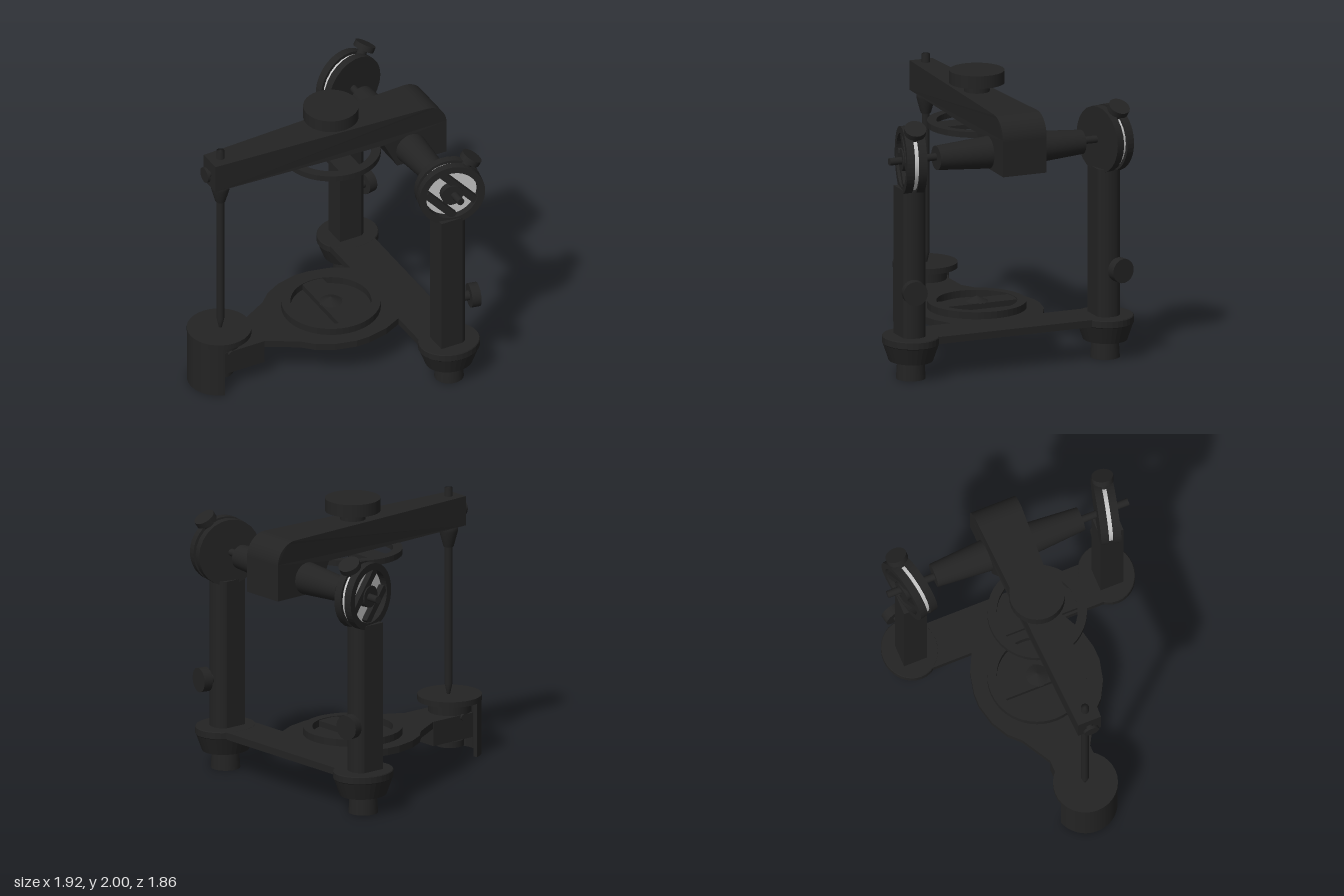
import * as THREE from 'three';

const black = new THREE.MeshStandardMaterial({ color: 0x232323 });
black.name = 'matte black';
const silver = new THREE.MeshStandardMaterial({ color: 0xc4c4c4 });
silver.name = 'silver';

function add(parent, name, geo, x = 0, y = 0, z = 0, mat = black) {
  const m = new THREE.Mesh(geo, mat);
  m.name = name;
  m.position.set(x, y, z);
  parent.add(m);
  return m;
}

// Upright round part between two heights
function round(parent, name, x, z, y0, y1, r0, r1 = r0) {
  return add(parent, name, new THREE.CylinderGeometry(r1, r0, y1 - y0, 32), x, (y0 + y1) / 2, z);
}

// Plan outline raised into a slab starting at y0
function slab(parent, name, shape, y0, h, x = 0) {
  const g = new THREE.ExtrudeGeometry(shape, { depth: h, bevelEnabled: false, curveSegments: 24 });
  g.rotateX(-Math.PI / 2);
  return add(parent, name, g, x, y0, 0);
}

function ringShape(outer, inner) {
  const s = new THREE.Shape().absarc(0, 0, outer, 0, Math.PI * 2);
  s.holes.push(new THREE.Path().absarc(0, 0, inner, 0, Math.PI * 2, true));
  return s;
}

// Round part whose axis points along a given direction
function screw(parent, name, pos, dir, r, h) {
  const m = add(parent, name, new THREE.CylinderGeometry(r, r, h, 24), ...pos);
  m.quaternion.setFromUnitVectors(new THREE.Vector3(0, 1, 0), new THREE.Vector3(...dir).normalize());
  return m;
}

function buildBase(g) {
  // Plate with a round middle, narrow front neck and wide rear bar
  const half = [[-0.62, 0.14], [-0.47, 0.145], [-0.25, 0.27], [-0.17, 0.35], [-0.05, 0.415],
    [0.1, 0.45], [0.2, 0.448], [0.35, 0.415], [0.48, 0.35], [0.48, 0.73], [0.8, 0.73]];
  const outline = [...half, ...half.map(([x, z]) => [x, -z]).reverse()];
  slab(g, 'basePlate', new THREE.Shape(outline.map((p) => new THREE.Vector2(...p))), 0.255, 0.05);
  round(g, 'lowerKnobShaft', 0.14, 0, 0.21, 0.26, 0.09);
  round(g, 'lowerKnob', 0.14, 0, 0.13, 0.215, 0.19);

  // Front table with its curved shield and clamp
  round(g, 'tableTop', -0.74, 0, 0.385, 0.425, 0.225);
  const a = 1.89, b = Math.PI * 2 - a;
  const shield = new THREE.Shape().absarc(0, 0, 0.222, a, b).absarc(0, 0, 0.195, b, a, true);
  slab(g, 'tableShield', shield, 0, 0.39, -0.74);
  round(g, 'tableStem', -0.74, 0, 0.14, 0.39, 0.15);
  add(g, 'tableBlock', new THREE.BoxGeometry(0.36, 0.175, 0.3), -0.645, 0.2175, 0);
  round(g, 'tableScrewShaft', -0.735, 0, 0.09, 0.14, 0.045);
  round(g, 'tableScrew', -0.74, 0, 0.06, 0.105, 0.1);
  for (const s of [1, -1]) screw(g, 'tablePeg', [-0.73, 0.29, 0.15 * s], [0, 0, 1], 0.022, 0.03);
}

// Slotted ring with crossbar and central cone; dir is the way the cone points
function mountingRing(g, name, y, h, dir) {
  const ring = new THREE.Group();
  ring.name = name;
  ring.position.set(0.14, y, 0);
  g.add(ring);
  slab(ring, 'ring', ringShape(0.345, 0.28), 0, h);
  add(ring, 'crossbar', new THREE.BoxGeometry(0.16, h * 0.8, 0.6), 0, h / 2, 0);
  const cone = add(ring, 'cone', new THREE.ConeGeometry(0.085, 0.04, 24), 0, dir > 0 ? h + 0.012 : -0.015, 0);
  if (dir < 0) cone.rotation.x = Math.PI;
}

function buildPost(g, s) {
  const z = 0.735 * s;
  // Foot and stub, slightly narrower from front to back
  const foot = add(g, 'foot', new THREE.LatheGeometry([[0, 0.13], [0.17, 0.13], [0.215, 0.25], [0.22, 0.255],
    [0.22, 0.3], [0.215, 0.306], [0, 0.306]].map((p) => new THREE.Vector2(...p)), 32), 0.67, 0, z);
  foot.geometry = foot.geometry.toNonIndexed();
  foot.geometry.computeVertexNormals();
  foot.scale.z = 0.89;
  round(g, 'footStub', 0.67, z, 0, 0.14, 0.103, 0.094);

  // Upright with a rounded rear side
  const p = new THREE.Shape();
  p.moveTo(0.565, -0.085).lineTo(0.73, -0.085);
  p.bezierCurveTo(0.797, -0.06, 0.797, 0.06, 0.73, 0.085);
  p.lineTo(0.565, 0.085);
  slab(g, 'post', p, 0.3, 1.06).position.z = z;
  screw(g, 'postKnobShaft', [0.79, 0.65, 0.765 * s], [1, 0, 0.2 * s], 0.035, 0.08);
  screw(g, 'postKnob', [0.838, 0.65, 0.78 * s], [1, 0, 0.2 * s], 0.086, 0.065);

  // Angled hinge housing: solid inner cheek, bright dial, open outer ring
  const h = new THREE.Group();
  h.name = 'hingeHousing';
  h.position.set(0.675, 1.56, z);
  h.rotation.y = -0.23 * s;
  g.add(h);
  const Z = [0, 0, 1];
  screw(h, 'innerCheek', [0, 0, -0.043 * s], Z, 0.236, 0.055);
  screw(h, 'dial', [0, 0, 0], Z, 0.215, 0.036).material = silver;
  const ring = new THREE.ExtrudeGeometry(ringShape(0.236, 0.187), { depth: 0.055, bevelEnabled: false, curveSegments: 24 });
  ring.translate(0, 0, -0.0275);
  add(h, 'outerRing', ring, 0, 0, 0.043 * s);
  for (const [off, len] of [[0.07, 0.35], [-0.115, 0.29]]) {
    const bar = add(h, 'guideBar', new THREE.BoxGeometry(len, 0.05, 0.045), off * 0.72, off * 0.69, 0.038 * s);
    bar.rotation.z = -0.81;
  }
  screw(h, 'hub', [0, 0, 0.04 * s], Z, 0.077, 0.06);
  const d = [0.53, 0.85, 0];
  screw(h, 'lockScrewShaft', d.map((v) => v * 0.25), d, 0.035, 0.08);
  screw(h, 'lockScrew', d.map((v) => v * 0.285), d, 0.076, 0.042);
}

function buildUpper(g) {
  // Arm with a dropped, rounded rear end that widens toward the back
  const p = new THREE.Shape();
  p.moveTo(-0.815, 1.64).lineTo(-0.2, 1.64).lineTo(0.48, 1.64).lineTo(0.58, 1.44).lineTo(0.96, 1.44).lineTo(0.96, 1.69);
  p.absarc(0.8, 1.69, 0.16, 0, Math.PI / 2);
  p.lineTo(-0.815, 1.85);
  const geo = new THREE.ExtrudeGeometry(p, { depth: 2, bevelEnabled: false, curveSegments: 12 });
  geo.translate(0, 0, -1);
  const pos = geo.attributes.position;
  for (let i = 0; i < pos.count; i++) {
    const t = Math.min(1, (pos.getX(i) + 0.815) / 1.65);
    pos.setZ(i, pos.getZ(i) * (0.085 + 0.08 * t));
  }
  geo.computeVertexNormals();
  add(g, 'upperArm', geo);
  round(g, 'upperKnobShaft', 0.14, 0, 1.84, 1.92, 0.09);
  round(g, 'upperKnob', 0.14, 0, 1.91, 2, 0.193);

  // Tapered hinge arms and axle
  for (const s of [1, -1]) {
    const arm = add(g, 'hingeArm', new THREE.CylinderGeometry(0.085, 0.118, 0.45, 32), 0.685, 1.555, 0.325 * s);
    arm.rotation.x = s * Math.PI / 2;
  }
  screw(g, 'axle', [0.675, 1.56, 0], [0, 0, 1], 0.026, 1.8);

  // Vertical pin with collar, pointed tip and end screw
  const pin = [[0, 0.42], [0.01, 0.42], [0.027, 0.5], [0.027, 1.48], [0.036, 1.49], [0.066, 1.6], [0.066, 1.64],
    [0.028, 1.66], [0.028, 1.91], [0, 1.91]];
  const pg = new THREE.LatheGeometry(pin.map((q) => new THREE.Vector2(...q)), 24);
  add(g, 'guidePin', pg, -0.73, 0, 0);
  screw(g, 'endScrewShaft', [-0.825, 1.745, 0], [1, 0, 0], 0.025, 0.05);
  screw(g, 'endScrew', [-0.848, 1.745, 0], [1, 0, 0], 0.056, 0.02);
}

export function createModel() {
  const g = new THREE.Group();
  g.name = 'hingedFrame';
  buildBase(g);
  mountingRing(g, 'lowerRing', 0.305, 0.05, 1);
  mountingRing(g, 'upperRing', 1.6, 0.042, -1);
  for (const s of [1, -1]) buildPost(g, s);
  buildUpper(g);
  return g;
}
